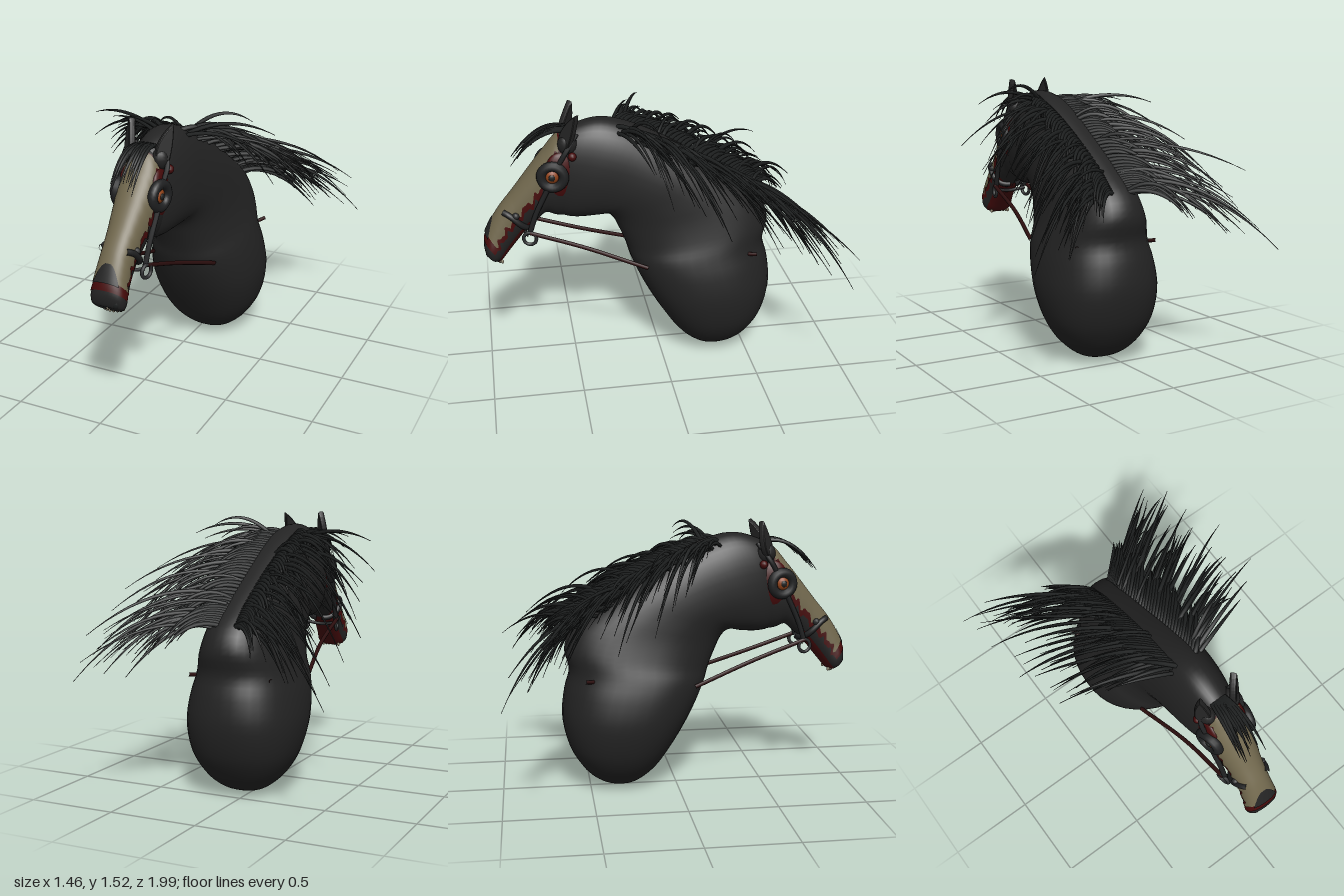
import * as THREE from 'three';
import { mergeVertices, mergeGeometries } from 'three/addons/utils/BufferGeometryUtils.js';

const mat = (name, color) => Object.assign(new THREE.MeshStandardMaterial({ color }), { name });
const V = (x, y, z) => new THREE.Vector3(x, y, z);

export function createModel() {
  const coat = mat('black coat', 0x232323), hair = mat('dark hair', 0x1e2020);
  const bone = mat('bone', 0x6f664c), flesh = mat('dark red flesh', 0x450a0a);
  const leather = mat('leather', 0x202122), metal = mat('dark metal', 0x2c2d2e);
  const ember = mat('orange eye', 0x8f4218), ivory = mat('ivory teeth', 0x8a7f68);
  const rein = mat('red rein', 0x2c0e0e);

  const model = new THREE.Group();
  const root = new THREE.Group();
  root.name = 'horseBust';
  root.position.x = 0.045;
  model.add(root);
  const add = (name, geo, material, x = 0, y = 0, z = 0) => {
    const m = new THREE.Mesh(geo, material);
    m.name = name;
    m.position.set(x, y, z);
    root.add(m);
    return m;
  };
  let seed = 7;
  const rnd = (a, b) => {
    seed = (seed * 16807) % 2147483647;
    return a + (b - a) * (seed / 2147483647);
  };

  // A skin is a row of rings: [lower z, lower y, upper z, upper y, half width]
  const skin = (rings) => {
    const lower = new THREE.CatmullRomCurve3(rings.map((r) => V(r[4], r[1], r[0])));
    const upper = new THREE.CatmullRomCurve3(rings.map((r) => V(r[4], r[3], r[2])));
    return (u, t, off = 0) => {
      const f = lower.getPoint(u), b = upper.getPoint(u);
      const c = f.clone().add(b).multiplyScalar(0.5), d = b.clone().sub(c);
      d.x = 0;
      const round = (v) => Math.sign(v) * Math.pow(Math.abs(v), 0.88);
      const p = V(0, c.y, c.z).addScaledVector(d, round(Math.cos(t)) * (1 + off / d.length()));
      p.x = (b.x + off) * round(Math.sin(t));
      return p;
    };
  };
  // Surface over part of a skin; span(u) gives the start and end angle
  const patch = (at, u0, u1, span, off, nu, nt) => {
    const pos = [], idx = [];
    for (let i = 0; i <= nu; i++) {
      const u = u0 + ((u1 - u0) * i) / nu, [a, e] = span(u);
      for (let j = 0; j <= nt; j++) {
        pos.push(...at(u, a + ((e - a) * j) / nt, off).toArray());
        if (i < nu && j < nt) {
          const k = i * (nt + 1) + j, n = k + nt + 1;
          idx.push(k, n, k + 1, n, n + 1, k + 1);
        }
      }
    }
    let g = new THREE.BufferGeometry();
    g.setAttribute('position', new THREE.Float32BufferAttribute(pos, 3));
    g.setIndex(idx);
    g = mergeVertices(g, 1e-5);
    g.computeVertexNormals();
    return g;
  };
  const full = () => [0, Math.PI * 2];

  // Rounded chest and arched neck
  const neck = skin([
    [-0.3195, 0, -0.3205, 0, 0.0005], [-0.24, 0.015, -0.42, 0.02, 0.1], [-0.17, 0.06, -0.5, 0.07, 0.175],
    [-0.1, 0.13, -0.56, 0.14, 0.24], [-0.03, 0.23, -0.62, 0.25, 0.295], [0.06, 0.38, -0.655, 0.42, 0.324],
    [0.13, 0.52, -0.64, 0.57, 0.31], [0.17, 0.62, -0.61, 0.69, 0.282], [0.19, 0.69, -0.635, 0.81, 0.25],
    [0.23, 0.79, -0.59, 0.93, 0.222], [0.27, 0.87, -0.44, 1.06, 0.204], [0.31, 0.9, -0.2, 1.22, 0.19],
    [0.38, 0.89, 0.02, 1.35, 0.175], [0.48, 0.885, 0.2, 1.43, 0.16], [0.55, 0.9, 0.33, 1.455, 0.14],
    [0.6, 0.95, 0.45, 1.43, 0.115], [0.6, 1.05, 0.54, 1.38, 0.08], [0.6, 1.15, 0.58, 1.25, 0.01],
  ]);
  add('neckAndChest', patch(neck, 0, 1, full, 0, 60, 40), coat);

  // Head, tapering down to the muzzle
  const head = skin([
    [0.48, 0.89, 0.45, 1.42, 0.115], [0.58, 0.9, 0.56, 1.37, 0.115], [0.64, 0.92, 0.64, 1.28, 0.11],
    [0.69, 0.88, 0.72, 1.18, 0.1], [0.75, 0.83, 0.82, 1.05, 0.088], [0.81, 0.76, 0.9, 0.95, 0.085],
    [0.86, 0.7, 0.96, 0.85, 0.09], [0.9, 0.655, 0.995, 0.76, 0.098], [0.925, 0.645, 0.99, 0.7, 0.08],
    [0.945, 0.655, 0.965, 0.675, 0.01],
  ]);
  add('head', patch(head, 0, 1, full, 0, 45, 32), coat);

  // Bone face with a ragged edge, raw flesh showing around it
  const ragged = (u, grow) => {
    const base = 0.75 + Math.min(1, Math.max(0, (u * 9 - 1) / 1.6)) * 0.72;
    const w = base + grow + 0.09 * Math.sin(u * 75) + 0.06 * Math.sin(u * 131);
    return [-w, w];
  };
  add('faceFlesh', patch(head, 0.1, 0.755, (u) => ragged(u, 0.22), 0.004, 50, 24), flesh);
  add('boneFace', patch(head, 0.11, 0.7, (u) => ragged(u, 0), 0.008, 50, 24), bone);
  add('nosePatch', patch(head, 0.615, 0.715, (u) => {
    const w = 0.75 * Math.sqrt((u - 0.612) / 0.1);
    return [-w, w];
  }, 0.012, 10, 12), coat);
  add('lowerJawFlesh', patch(head, 0.4, 0.87, () => [2.2, Math.PI * 2 - 2.2], 0.004, 20, 14), flesh);

  // Teeth along the front of the mouth
  for (let i = 0; i < 9; i++) {
    const a = ((i - 4) / 4) * 1.35;
    add('tooth', new THREE.SphereGeometry(0.009, 8, 6), ivory,
      Math.sin(a) * 0.06, 0.65, 0.89 + Math.cos(a) * 0.045).scale.y = 1.3;
  }

  const tube = (points, r, n = 16) => new THREE.TubeGeometry(new THREE.CatmullRomCurve3(points), n, r, 8);
  for (const s of [-1, 1]) {
    // Eye: flesh, broad dark rim, glowing ball and pupil
    add('eyeFlesh', new THREE.SphereGeometry(1, 20, 14), flesh, s * 0.09, 1.165, 0.555).scale.set(0.038, 0.135, 0.09);
    const rim = add('eyeRim', new THREE.TorusGeometry(0.062, 0.028, 10, 24), leather, s * 0.118, 1.17, 0.6);
    rim.rotation.y = s * 1.4;
    add('eyeball', new THREE.SphereGeometry(0.042, 18, 12), ember, s * 0.107, 1.17, 0.6).scale.x = 0.75;
    add('pupil', new THREE.SphereGeometry(0.019, 12, 8), hair, s * 0.133, 1.17, 0.605).scale.x = 0.5;
    add('temple', new THREE.SphereGeometry(0.024, 12, 8), flesh, s * 0.118, 1.28, 0.49);

    // Pointed ear
    const ear = new THREE.Shape();
    ear.moveTo(-0.035, 0);
    ear.quadraticCurveTo(-0.06, 0.07, 0.012, 0.18);
    ear.quadraticCurveTo(0.035, 0.08, 0.03, 0);
    const earGeo = new THREE.ExtrudeGeometry(ear, {
      depth: 0.012, bevelEnabled: true, bevelSize: 0.006, bevelThickness: 0.012, bevelSegments: 2, curveSegments: 10,
    });
    const earMesh = add('ear', earGeo, coat, s * 0.09, 1.34, 0.52);
    earMesh.rotation.set(-0.22, s * 0.75, s * -0.14);
    add('earBase', new THREE.SphereGeometry(0.05, 14, 10), coat, s * 0.08, 1.34, 0.51).scale.set(0.9, 1.2, 1.1);

    // Nostril
    add('nostril', new THREE.SphereGeometry(0.024, 12, 8), hair, s * 0.055, 0.71, 0.97).scale.set(1, 1.2, 0.8);

    // Bridle straps, bit ring and rein
    const band = [];
    for (let i = 0; i <= 8; i++) band.push(head(0.53 - i * 0.017, s * (0.75 + (i / 8) * 2.3), 0.01));
    add('noseband', tube(band, 0.017, 24), leather);
    add('cheekStrap', tube([V(s * 0.1, 0.83, 0.74), V(s * 0.108, 0.95, 0.7), V(s * 0.12, 1.1, 0.63)], 0.015), leather);
    add('browStrap', tube([V(s * 0.12, 1.23, 0.57), V(s * 0.125, 1.3, 0.53), V(s * 0.09, 1.4, 0.46)], 0.014), leather);
    add('bitRing', new THREE.TorusGeometry(0.036, 0.01, 8, 20), metal, s * 0.108, 0.805, 0.74).rotation.y = s * 1.35;
    add('bitStud', new THREE.SphereGeometry(0.02, 10, 8), metal, s * 0.092, 0.94, 0.81);
    add('rein', tube([V(s * 0.11, 0.84, 0.74), V(s * 0.13, 0.73, 0.43), V(s * 0.195, 0.605, 0.09)], 0.012), rein);
    add('reinEnd', tube([V(s * 0.17, 0.66, -0.44), V(s * 0.22, 0.66, -0.48), V(s * 0.25, 0.668, -0.53)], 0.011, 6), rein);
  }
  add('bitBar', tube([V(-0.1, 0.815, 0.74), V(0, 0.8, 0.76), V(0.1, 0.815, 0.74)], 0.01), metal);

  // Tapered lock of hair along a curve
  const strand = (a, b, c, r) => {
    const curve = new THREE.QuadraticBezierCurve3(a, b, c), n = 12;
    const g = new THREE.TubeGeometry(curve, n, r, 5);
    const p = g.attributes.position, v = V(0, 0, 0);
    for (let i = 0; i < p.count; i++) {
      const u = Math.floor(i / 6) / n, o = curve.getPointAt(u);
      v.fromBufferAttribute(p, i).sub(o).multiplyScalar(Math.max(0.12, 1 - u * u)).add(o);
      p.setXYZ(i, v.x, v.y, v.z);
    }
    return g;
  };

  // Windblown mane fanning out and back from both sides of the crest
  const crest = new THREE.CatmullRomCurve3([
    V(0, 1.42, 0.24), V(0, 1.335, 0.03), V(0, 1.21, -0.2), V(0, 1.06, -0.43), V(0, 0.96, -0.55),
  ]);
  for (const s of [-1, 1]) {
    const locks = [];
    for (let i = 0; i < 80; i++) {
      const u = i / 79, o = crest.getPoint(u);
      const a = V(s * rnd(0.045, 0.1), o.y - rnd(0, 0.05), o.z + rnd(-0.03, 0.03));
      const len = rnd(0.5, 1.05), out = s * len * rnd(0.48, 0.64);
      const drop = u < 0.06 ? rnd(-0.1, 0.06) : -rnd(0.12, 0.36) * len;
      const back = len * (0.2 + 0.24 * Math.min(1, u * 2)) * rnd(0.85, 1.1);
      const c = V(a.x + out, a.y + drop, Math.max(-0.995, a.z - back));
      const b = V(a.x + out * 0.5, a.y + Math.max(0, drop) + rnd(0.05, 0.13), a.z - back * rnd(0.4, 0.55));
      locks.push(strand(a, b, c, rnd(0.009, 0.014)));
    }
    // Short locks lying close to the neck
    for (let i = 0; i < 40; i++) {
      const o = crest.getPoint(i / 39), l = rnd(0.1, 0.2);
      const a = V(s * 0.05, o.y - 0.01, o.z);
      locks.push(strand(a, V(s * (0.08 + l * 0.6), o.y + 0.04, o.z - l * 0.7),
        V(s * (0.08 + l), o.y - l * 0.7, o.z - l * 1.4), 0.014));
    }
    add(s > 0 ? 'leftMane' : 'rightMane', mergeGeometries(locks), hair);
  }

  // Forelock falling over the brow
  const fore = [];
  for (let i = 0; i < 14; i++) {
    const x = (i / 13 - 0.5) * 0.13, l = rnd(0.45, 1.05);
    fore.push(strand(V(x * 0.6, 1.4, 0.5), V(x, 1.45, 0.56 + 0.1 * l),
      V(x + rnd(-0.02, 0.02), 1.41 - 0.17 * l, 0.6 + 0.21 * l), 0.012));
  }
  add('forelock', mergeGeometries(fore), hair);
  return model;
}
